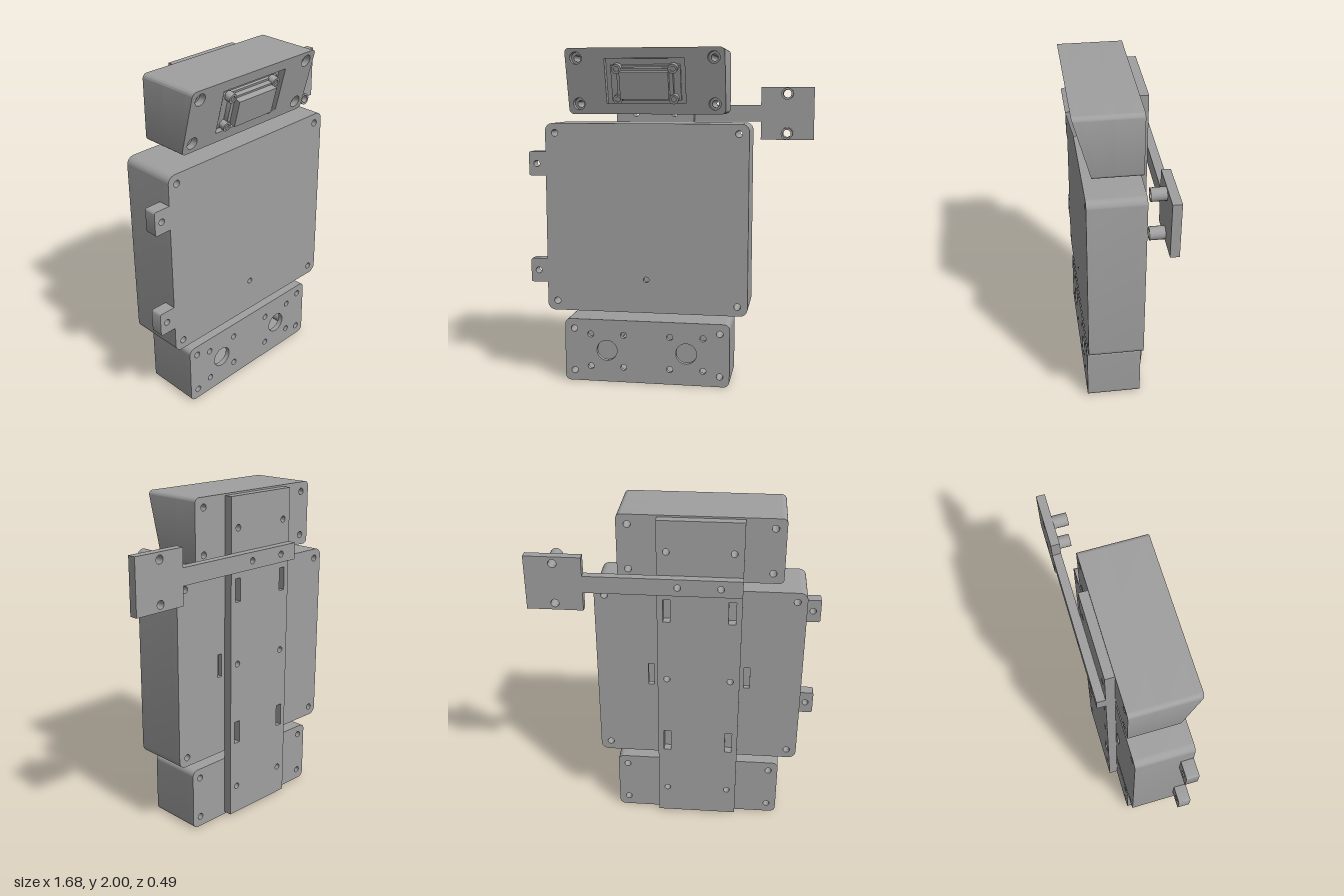
import * as THREE from 'three';
import { toCreasedNormals } from 'three/addons/utils/BufferGeometryUtils.js';

const CX = -0.133;              // centre line of the stacked boxes
const BACK = -0.146, FRONT = 0.187;

// Rounded rectangle, traced on a Shape or a Path
function rect(x0, x1, y0, y1, r = 0, Type = THREE.Shape) {
  const p = new Type();
  if (!r) {
    p.moveTo(x0, y0).lineTo(x1, y0).lineTo(x1, y1).lineTo(x0, y1);
    p.closePath();
    return p;
  }
  const q = Math.PI / 2;
  p.moveTo(x0 + r, y0);
  p.absarc(x1 - r, y0 + r, r, -q, 0);
  p.absarc(x1 - r, y1 - r, r, 0, q);
  p.absarc(x0 + r, y1 - r, r, q, 2 * q);
  p.absarc(x0 + r, y0 + r, r, 2 * q, 3 * q);
  p.closePath();
  return p;
}

const slot = (x, y, w, h) => rect(x - w / 2, x + w / 2, y - h / 2, y + h / 2, 0, THREE.Path);
const hole = (x, y, r = 0.019) => new THREE.Path().absarc(x, y, r, 0, Math.PI * 2);
const disc = (x, y, r) => new THREE.Shape().absarc(x, y, r, 0, Math.PI * 2);
const grid = (xs, ys, make) => xs.flatMap((x) => ys.map((y) => make(x, y)));

export function createModel() {
  const model = new THREE.Group();
  model.name = 'enclosureAssembly';
  const grey = new THREE.MeshStandardMaterial({ color: 0xa0a0a0 });
  grey.name = 'plain grey';

  function add(parent, name, geometry) {
    const mesh = new THREE.Mesh(geometry, grey);
    mesh.name = name;
    parent.add(mesh);
    return mesh;
  }

  // Flat plate with holes between two z planes; rule may move its vertices
  function plate(parent, name, shape, holes, z0, z1, rule) {
    shape.holes.push(...holes);
    const geo = new THREE.ExtrudeGeometry(shape, { depth: z1 - z0, bevelEnabled: false, curveSegments: 10 });
    geo.translate(0, 0, z0);
    if (rule) {
      const p = geo.attributes.position;
      for (let i = 0; i < p.count; i++) p.setZ(i, rule(p.getY(i), p.getZ(i)));
      geo.computeVertexNormals();
    }
    return add(parent, name, toCreasedNormals(geo, 0.6));
  }

  // Hollow box: back plate, wall ring, front plate and screw posts
  function hollowBox(name, [x0, x1, y0, y1], r, xs, ys, frontHoles, backHoles) {
    const g = new THREE.Group();
    g.name = name;
    model.add(g);
    const w = 0.03, zb = BACK + w, zf = FRONT - w;
    const screws = () => grid(xs, ys, (x, y) => hole(x, y, 0.02));
    plate(g, 'backPlate', rect(x0, x1, y0, y1, r), [...screws(), ...backHoles], BACK, zb);
    plate(g, 'walls', rect(x0, x1, y0, y1, r),
      [rect(x0 + w, x1 - w, y0 + w, y1 - w, 0.01, THREE.Path)], zb, zf);
    plate(g, 'frontPlate', rect(x0, x1, y0, y1, r), [...screws(), ...frontHoles], zf, FRONT);
    grid(xs, ys, (x, y) => plate(g, 'screwPost', disc(x, y, 0.035), [hole(x, y, 0.02)], zb, zf));
  }

  const railX = [-0.32, 0.053];

  // Large middle box
  hollowBox('mainBox', [-0.738, 0.473, 0.438, 1.567], 0.045, [-0.68, 0.413], [0.495, 1.51],
    [hole(-0.132, 0.64, 0.017)],
    [slot(CX - 0.283, 1, 0.035, 0.14), slot(CX + 0.283, 1, 0.035, 0.14),
      ...grid(railX, [1], (x, y) => hole(x, y))]);

  // Lower box with two round openings
  hollowBox('lowerBox', [-0.635, 0.37, 0, 0.385], 0.035, [-0.578, 0.312], [0.063, 0.325],
    [hole(-0.376, 0.195, 0.063), hole(0.11, 0.195, 0.063),
      ...grid([-0.476, -0.273, 0.01, 0.211], [0.093, 0.293], (x, y) => hole(x, y))],
    grid(railX, [0.195], (x, y) => hole(x, y)));

  // Side tabs on the main box
  for (const y of [0.68, 1.327]) {
    plate(model, 'sideTab', rect(-0.84, -0.73, y - 0.072, y + 0.072, 0.012),
      [hole(-0.793, y)], 0.114, FRONT);
  }

  // Upper box: straight back half and a lid whose face leans forward
  const upper = new THREE.Group();
  upper.name = 'upperBox';
  model.add(upper);
  const lean = 0.271, pocket = 0.042;
  const face = (y) => 0.138 + (y - 1.62) * lean;
  const outline = () => rect(-0.598, 0.333, 1.62, 2, 0.028);
  const corners = (r) => grid([-0.535, 0.27], [1.68, 1.943], (x, y) => hole(x, y, r));
  plate(upper, 'upperBack', outline(),
    [...corners(0.02), ...grid(railX, [1.81], (x, y) => hole(x, y))], BACK, 0.008);
  plate(upper, 'lidBody', outline(), corners(0.02), 0, 1,
    (y, t) => (t > 0.5 ? face(y) - pocket : 0.008));
  plate(upper, 'lidFace', outline(),
    [...corners(0.035), rect(-0.367, 0.102, 1.682, 1.94, 0, THREE.Path)], 0, 1,
    (y, t) => face(y) - (t > 0.5 ? 0 : pocket));

  // Display unit in the lid pocket, tilted with the face
  const display = new THREE.Group();
  display.name = 'displayUnit';
  display.position.set(CX, 1.795, face(1.795));
  display.rotation.x = Math.atan(lean);
  upper.add(display);
  plate(display, 'displayBoard', rect(-0.205, 0.205, -0.105, 0.105), [], -0.045, -0.024);
  plate(display, 'displayFrame', rect(-0.165, 0.165, -0.092, 0.092, 0.01), [], -0.024, 0.004);
  plate(display, 'displayScreen', rect(-0.143, 0.143, -0.08, 0.08), [], 0.004, 0.042);
  grid([-0.165, 0.165], [-0.09, 0.09], (x, y) => {
    plate(display, 'displayPost', disc(x, y, 0.028), [hole(x, y, 0.015)], -0.03, 0.012);
    plate(display, 'displayScrew', disc(x, y, 0.016), [], -0.03, 0.004);
  });

  // Back rail joining the three boxes
  const armHoles = () => grid([-0.254, -0.013], [1.62], (x, y) => hole(x, y));
  plate(model, 'backRail', rect(-0.375, 0.108, 0.015, 1.99),
    [...grid(railX, [0.195, 1, 1.81], (x, y) => hole(x, y)),
      ...grid(railX, [0.56, 1.45], (x, y) => slot(x, y, 0.042, 0.14)),
      ...armHoles()], -0.198, BACK);

  // Side arm ending in a square mounting plate with standoffs
  const pegs = [1.5, 1.74];
  plate(model, 'sideArm', rect(-0.375, 0.515, 1.57, 1.67), armHoles(), -0.248, -0.198);
  plate(model, 'mountPlate', rect(0.515, 0.837, 1.46, 1.78),
    pegs.map((y) => hole(0.675, y, 0.024)), -0.248, -0.198);
  for (const y of pegs) {
    plate(model, 'standoff', disc(0.675, y, 0.036), [hole(0.675, y, 0.024)], -0.198, -0.115);
  }

  return model;
}
